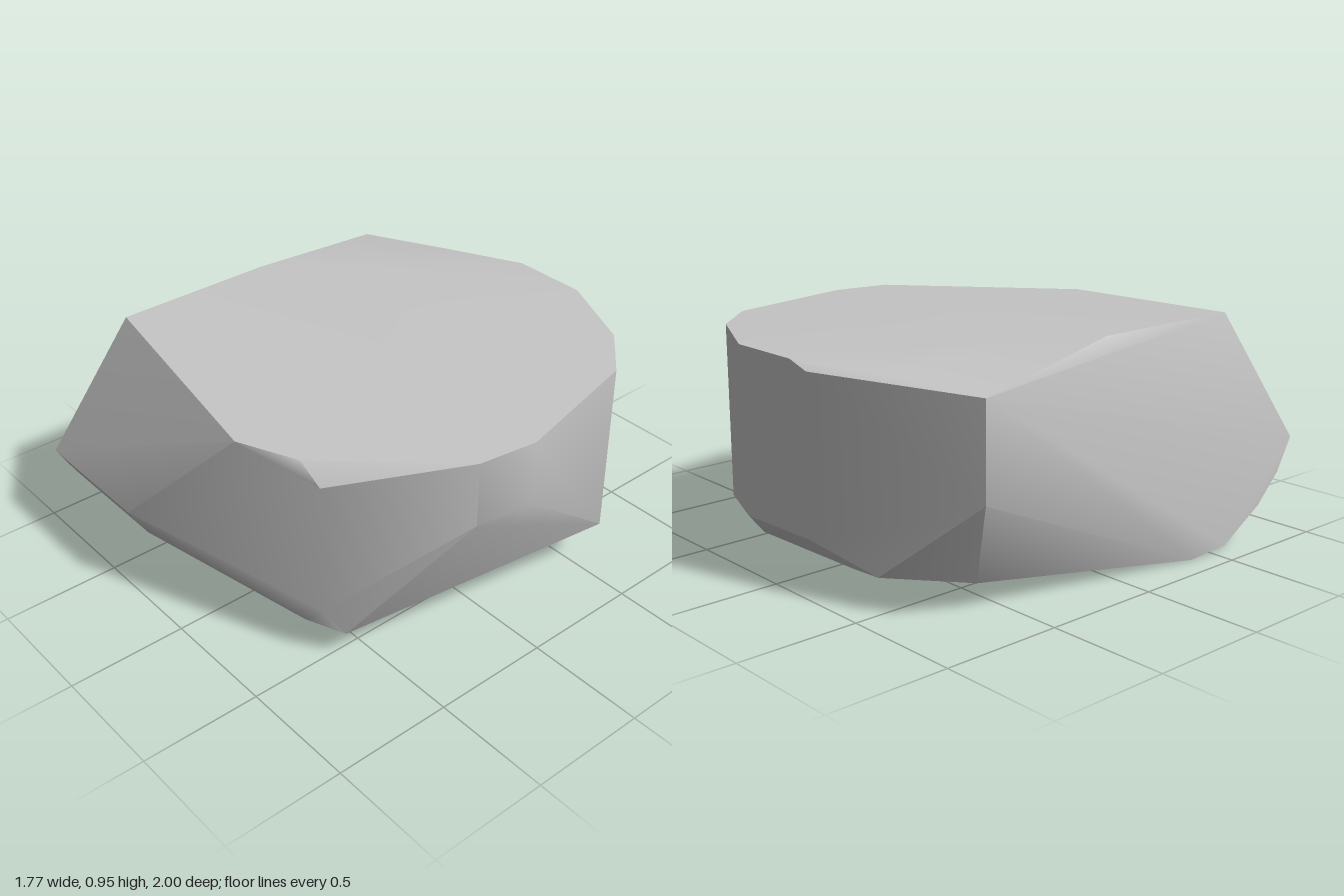
import * as THREE from 'three';
import { ConvexGeometry } from 'three/addons/geometries/ConvexGeometry.js';

// Corners of the boulder, as [x, y, z]
const top = [
  [-0.79, 0.96, 0.65], [-0.79, 0.96, -0.04], [-0.89, 0.86, -0.73], [-0.45, 0.9, -0.87],
  [-0.14, 0.91, -1], [0.19, 0.91, -1], [0.55, 0.91, -0.83], [0.74, 0.91, -0.63],
  [0.885, 0.91, -0.03], [0.85, 0.91, 0.22], [0.4, 0.895, 0.68], [0.17, 0.91, 0.8],
];
const sides = [
  [-0.89, 0.4, 1], [-0.32, 0.4, 1], [0.5, 0.82, 0.67], [0.5, 0.24, 0.67], [0.17, 0.24, 0.8],
  [0.85, 0.63, 0.22], [0.885, 0.63, -0.03], [0.79, 0.21, -0.57], [0.55, 0.19, -0.83],
  [0.19, 0.23, -0.99], [-0.24, 0.88, -1], [-0.22, 0.24, -0.99], [-0.89, 0.48, -0.73],
];
const base = [
  [-0.89, 0.26, 0.92], [-0.32, 0.26, 0.92], [-0.89, 0.14, 0.8], [0.4, 0.14, 0.68],
  [0.55, 0.12, 0.6], [-0.89, 0.015, 0.59], [-0.89, 0.005, 0.38], [-0.7, 0.11, -0.6],
  [-0.48, 0.14, -0.88], [-0.36, 0.145, -0.9], [0.19, 0.145, -0.92], [0.38, 0.14, -0.77],
  [0.66, 0.11, -0.6],
];

// Smooth the shallow edges, letting the large faces dominate
function softenEdges(geometry, crease) {
  const pos = geometry.attributes.position;
  const corner = (i) => new THREE.Vector3().fromBufferAttribute(pos, i);
  const key = (i) => corner(i).toArray().map((n) => n.toFixed(4)).join();
  const faces = [];
  const around = {};
  for (let i = 0; i < pos.count; i += 3) {
    const a = corner(i);
    const face = corner(i + 1).sub(a).cross(corner(i + 2).sub(a));
    faces.push(face);
    for (let k = i; k < i + 3; k++) (around[key(k)] ??= []).push(face);
  }
  for (let i = 0; i < pos.count; i++) {
    const face = faces[Math.floor(i / 3)];
    const normal = new THREE.Vector3();
    for (const other of around[key(i)]) {
      if (other === face || face.angleTo(other) < crease) normal.add(other);
    }
    normal.normalize();
    geometry.attributes.normal.setXYZ(i, normal.x, normal.y, normal.z);
  }
  return geometry;
}

export function createModel() {
  const stone = new THREE.MeshStandardMaterial({ color: 0xc5c5c5 });
  stone.name = 'greyStone';

  // Wrap the corners in a faceted skin
  const points = [...top, ...sides, ...base].map(([x, y, z]) => new THREE.Vector3(x, y - 0.005, z));
  const boulder = new THREE.Mesh(softenEdges(new ConvexGeometry(points), 0.62), stone);
  boulder.name = 'boulder';

  const group = new THREE.Group();
  group.name = 'rock';
  group.add(boulder);
  return group;
}
